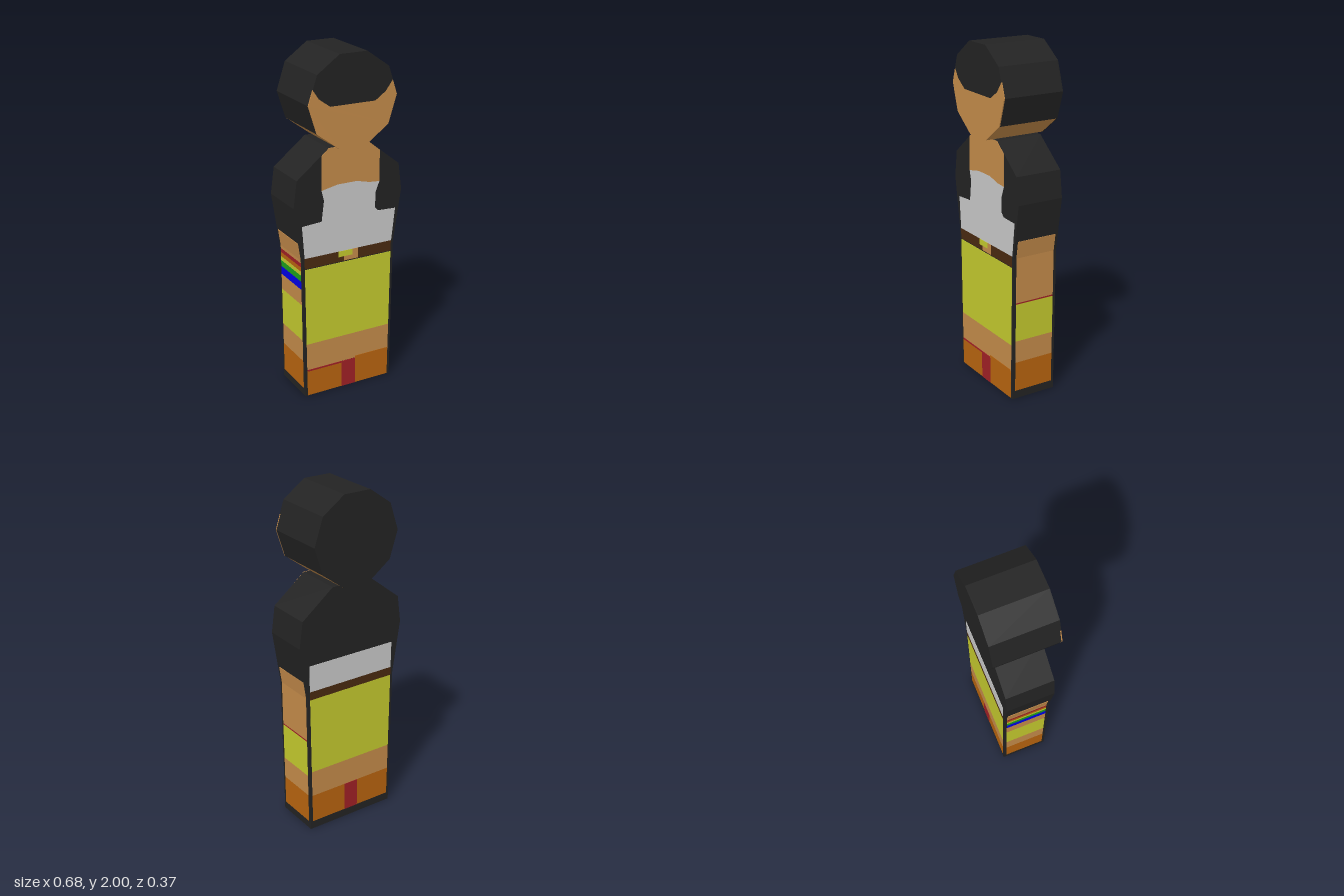
import * as THREE from 'three';

const paint = (name, color) => {
  const m = new THREE.MeshStandardMaterial({ color });
  m.name = name;
  return m;
};

export function createModel() {
  const black = paint('black', 0x232323);
  const skin = paint('skin', 0xc48b4a);
  const grey = paint('lightGrey', 0xc9c9c9);
  const yellow = paint('yellow', 0xc4ca2e);
  const brown = paint('brown', 0x4a2a10);
  const orange = paint('orange', 0xb8640f);
  const red = paint('red', 0xa02025);
  const green = paint('green', 0x1ca01c);
  const blue = paint('blue', 0x0000ff);

  const model = new THREE.Group();
  model.name = 'figure';

  // A prism with an outline in x and y, running from z0 to z1
  function prism(parent, name, points, z0, z1, material) {
    const shape = new THREE.Shape(points.map(([x, y]) => new THREE.Vector2(x, y)));
    const geometry = new THREE.ExtrudeGeometry(shape, { depth: z1 - z0, bevelEnabled: false });
    geometry.translate(0, 0, z0);
    const mesh = new THREE.Mesh(geometry, material);
    mesh.name = name;
    parent.add(mesh);
  }
  function group(name) {
    const g = new THREE.Group();
    g.name = name;
    model.add(g);
    return g;
  }

  // Body: right half of the outline, mirrored
  const side = [[0.283, 0], [0.293, 0.86], [0.341, 1.175], [0.32, 1.33], [0.125, 1.485]];
  const mirror = (half) => [...half, ...half.map(([x, y]) => [-x, y]).reverse()];
  prism(model, 'body', mirror(side), -0.14, 0.14, black);

  // Head: ten-sided drum with a skin-coloured chin and a black back
  const head = group('head');
  const crown = [[0.22, 1.587], [0.27, 1.745], [0.217, 1.905], [0.083, 2]];
  const chin = [[0.083, 1.485], [0.22, 1.587]];
  prism(head, 'hair', mirror(crown), -0.18, 0.18, black);
  prism(head, 'chin', mirror(chin), -0.18, 0.18, skin);
  prism(head, 'headBack', mirror([chin[0], ...crown]), -0.186, -0.18, black);
  const hairline = [[0.243, 1.828], [0.2, 1.77], [0.135, 1.725],
    [-0.14, 1.727], [-0.207, 1.775], [-0.243, 1.828]];
  prism(head, 'face', [[-0.083, 1.485], [0.083, 1.485], [0.22, 1.587], [0.27, 1.745],
    ...hairline, [-0.27, 1.745], [-0.22, 1.587]], 0.18, 0.186, skin);
  prism(head, 'fringe', [...hairline, [-0.217, 1.905], [-0.083, 2], [0.083, 2], [0.217, 1.905]],
    0.18, 0.186, black);

  // Thin painted plates on the front and the back
  const edge = (y) => 0.267 + 0.013 * y;
  const band = (y0, y1) => [[-edge(y0), y0], [edge(y0), y0], [edge(y1), y1], [-edge(y1), y1]];
  const rect = (x0, x1, y0, y1) => [[x0, y0], [x1, y0], [x1, y1], [x0, y1]];
  const front = group('frontPaint');
  const onFront = (name, pts, mat, layer = 0) =>
    prism(front, name, pts, 0.138, 0.142 + layer * 0.002, mat);
  const back = group('backPaint');
  const onBack = (name, pts, mat, layer = 0) =>
    prism(back, name, pts, -0.142 - layer * 0.002, -0.138, mat);

  const neckline = [[-0.17, 1.25], [-0.07, 1.27], [0.05, 1.27], [0.13, 1.25], [0.195, 1.245]];
  onFront('neck', [...neckline, [0.195, 1.428], [0.125, 1.485], [-0.125, 1.485], [-0.17, 1.447]], skin);
  onFront('shirt', [[-0.278, 0.87], [0.28, 0.87], [0.302, 1.065], [0.19, 1.07], [0.17, 1.09],
    [0.17, 1.18], ...neckline.slice().reverse(), [-0.155, 1.19], [-0.17, 1.07], [-0.292, 1.062]], grey);
  onFront('belt', band(0.807, 0.87), brown);
  onFront('hand', rect(-0.065, 0.06, 0.81, 0.836).map(([x, y]) => [Math.max(x, -0.03), y]), skin, 1);
  onFront('handSide', rect(0.025, 0.06, 0.836, 0.87), skin, 1);
  onFront('buckle', rect(-0.065, 0.025, 0.836, 0.87), yellow, 1);
  onFront('shorts', band(0.335, 0.802), yellow);
  onFront('legs', band(0.17, 0.335), skin);
  onFront('boots', band(0.003, 0.165), orange);
  onFront('leftBootTop', rect(0.045, 0.267, 0.163, 0.181), orange, 1);
  onFront('bootGap', rect(-0.045, 0.045, 0.003, 0.168), red, 1);
  onFront('bootTrim', rect(-0.267, -0.045, 0.16, 0.17), red, 1);

  onBack('shirtBack', band(0.9, 1.058), grey);
  onBack('beltBack', band(0.85, 0.9), brown);
  onBack('shortsBack', band(0.385, 0.85), yellow);
  onBack('legsBack', band(0.225, 0.385), skin);
  onBack('bootsBack', band(0.05, 0.225), orange);
  onBack('bootGapBack', rect(-0.045, 0.045, 0.05, 0.225), red, 1);

  // Side stripes follow the slope of the body wall
  function wall(y) {
    const i = y <= 0.86 ? 0 : 1;
    const [[x0, y0], [x1, y1]] = [side[i], side[i + 1]];
    return x0 + (x1 - x0) * (y - y0) / (y1 - y0);
  }
  const stripes = [
    ['boot', 0.05, 0.228, orange], ['leg', 0.228, 0.36, skin], ['shorts', 0.36, 0.585, yellow],
  ];
  const leftStripes = [...stripes, ['cuff', 0.585, 0.593, red],
    ['forearm', 0.593, 0.86, skin], ['upperArm', 0.86, 0.96, skin]];
  const rightStripes = [...stripes, ['hand', 0.585, 0.68, skin],
    ['blueBand', 0.68, 0.73, blue], ['greenBand', 0.73, 0.767, green],
    ['yellowBand', 0.767, 0.792, yellow], ['orangeBand', 0.792, 0.818, orange],
    ['redBand', 0.818, 0.842, red], ['forearm', 0.842, 0.86, skin], ['upperArm', 0.86, 0.96, skin]];
  for (const [label, s, list] of [['left', 1, leftStripes], ['right', -1, rightStripes]]) {
    const paintGroup = group(label + 'SidePaint');
    for (const [name, y0, y1, mat] of list) {
      const a = wall(y0), b = wall(y1);
      const pts = [[a - 0.003, y0], [a + 0.003, y0], [b + 0.003, y1], [b - 0.003, y1]];
      prism(paintGroup, name, pts.map(([x, y]) => [x * s, y]), -0.122, 0.122, mat);
    }
  }
  return model;
}
